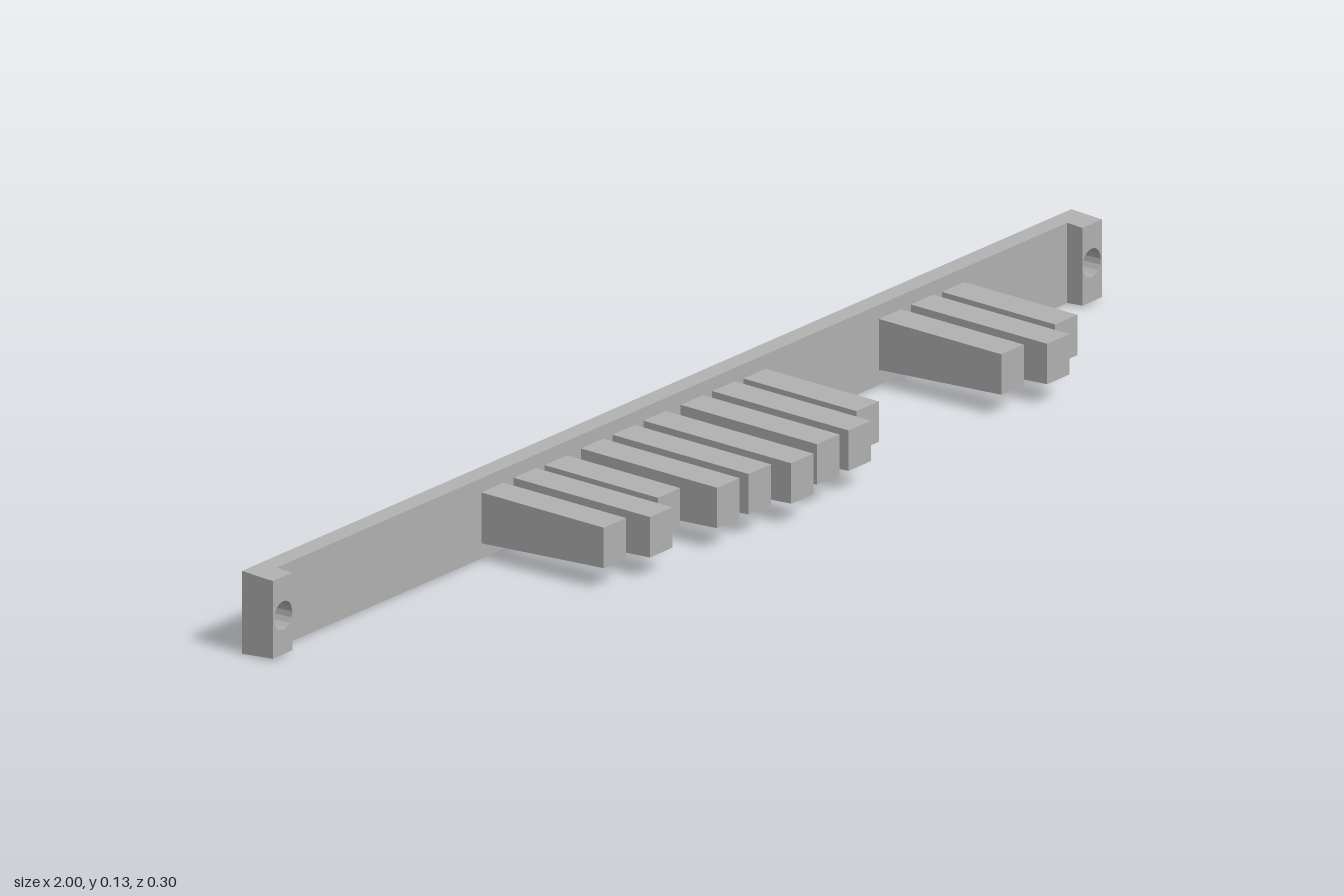
import * as THREE from 'three';

const BACK = -0.148, FACE = -0.12, LUG = -0.092, MID = 0.0635;

// Circular bolt hole outline
function boltHole(x) {
  const hole = new THREE.Path();
  hole.absarc(x, 0, 0.022, 0, Math.PI * 2, true);
  return hole;
}

// Plate with bolt holes; its height shrinks slightly towards the front (draft)
function draftedPlate(x0, x1, z0, z1, holes) {
  const h = 0.0635;
  const shape = new THREE.Shape([[x0, -h], [x1, -h], [x1, h], [x0, h]].map(p => new THREE.Vector2(...p)));
  holes.forEach(x => shape.holes.push(boltHole(x)));
  const geo = new THREE.ExtrudeGeometry(shape, { depth: z1 - z0, bevelEnabled: false, curveSegments: 8 });
  geo.translate(0, 0, z0);
  const p = geo.attributes.position;
  for (let i = 0; i < p.count; i++) {
    if (Math.abs(p.getY(i)) > 0.06) p.setY(i, Math.sign(p.getY(i)) * (h - (p.getZ(i) - BACK) * 0.07));
  }
  geo.translate(0, MID, 0);
  geo.computeVertexNormals();
  return geo;
}

// Bar with equal tips, thickening towards the plate
function taperedFinger(tip) {
  const rise = 0.031 + (tip - FACE) * 0.036;
  const geo = new THREE.BoxGeometry(0.054, 2, tip - FACE);
  const p = geo.attributes.position;
  for (let i = 0; i < p.count; i++) p.setY(i, Math.sign(p.getY(i)) * (p.getZ(i) > 0 ? 0.031 : rise));
  geo.computeVertexNormals();
  return geo;
}

export function createModel() {
  const group = new THREE.Group();
  const grey = new THREE.MeshStandardMaterial({ color: 0xb0b0b0 });
  grey.name = 'plain grey';
  const add = (name, geo) => {
    const mesh = new THREE.Mesh(geo, grey);
    mesh.name = name;
    group.add(mesh);
    return mesh;
  };

  // Long rear plate and the mounting lugs at its ends
  add('backPlate', draftedPlate(-1, 1, BACK, FACE, [-0.975, 0.975]));
  add('leftLug', draftedPlate(0.953, 1, FACE, LUG, [0.975]));
  add('rightLug', draftedPlate(-1, -0.953, FACE, LUG, [-0.975]));

  // Fingers: centre x and tip z
  const fingers = [
    [-0.433, 0.102], [-0.355, 0.127], [-0.28, 0.085],
    [-0.193, 0.127], [-0.117, 0.127], [-0.042, 0.148],
    [0.048, 0.127], [0.124, 0.127], [0.199, 0.085],
    [0.526, 0.102], [0.603, 0.127], [0.678, 0.085],
  ];
  fingers.forEach(([x, tip], i) => {
    add('finger' + (i + 1), taperedFinger(tip)).position.set(x, 0.0645, (tip + FACE) / 2);
  });
  return group;
}
